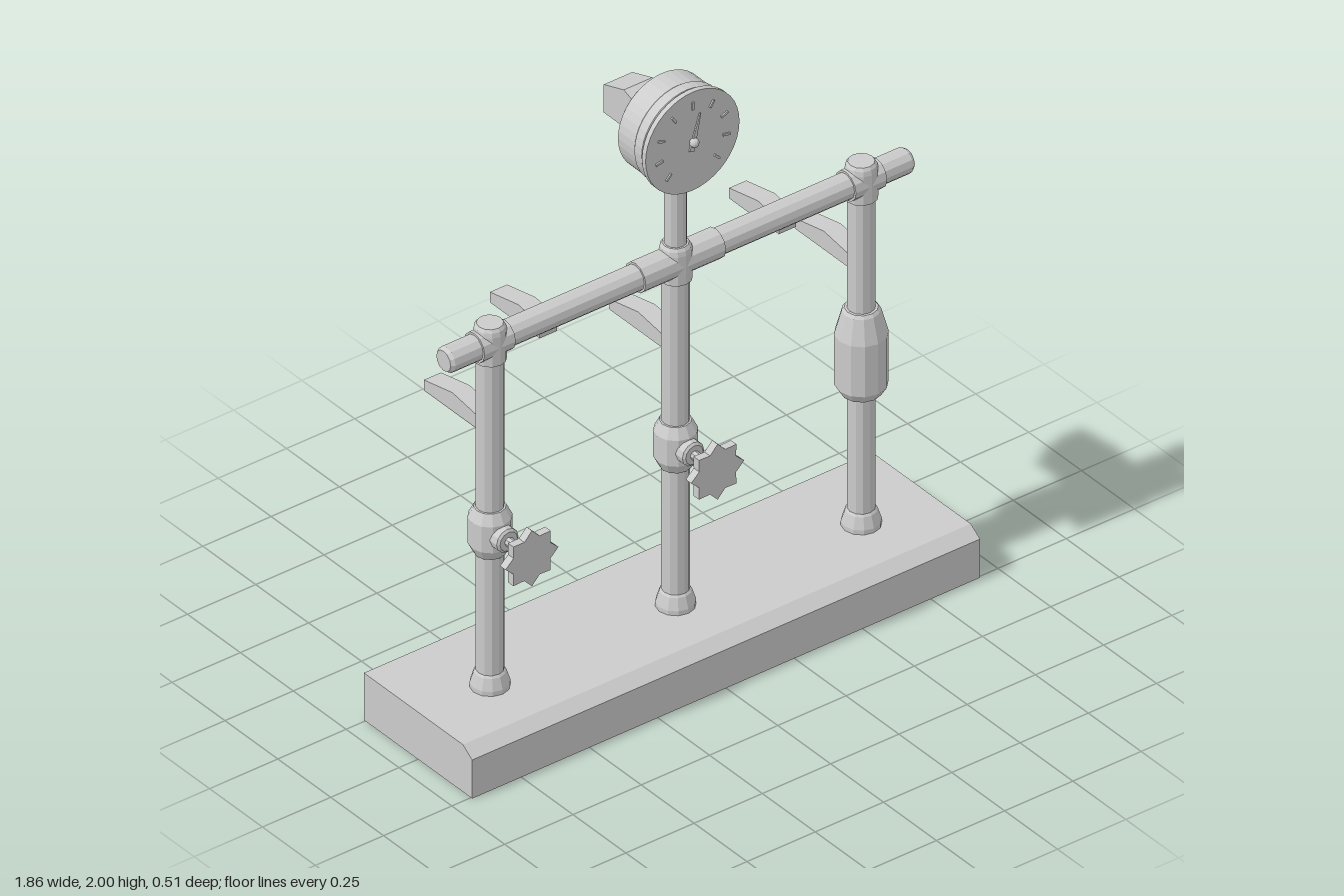
import * as THREE from 'three';

const Z = 0.017; // depth of the pipe plane
const POSTS = [-0.68, 0, 0.68];

export function createModel() {
  const model = new THREE.Group();
  const faceted = new THREE.MeshStandardMaterial({ color: 0xcccccc, flatShading: true });

  function add(name, geometry, x = 0, y = 0, z = 0, parent = model) {
    const mesh = new THREE.Mesh(geometry, faceted);
    mesh.name = name;
    mesh.position.set(x, y, z);
    parent.add(mesh);
    return mesh;
  }

  // Turned solid about y; profile is [radius, height] from bottom to top, closed at both ends
  function turned(profile, sides = 12) {
    const pts = profile.map(([r, h]) => new THREE.Vector2(r, h));
    pts.unshift(new THREE.Vector2(0, pts[0].y));
    pts.push(new THREE.Vector2(0, pts[pts.length - 1].y));
    return new THREE.LatheGeometry(pts, sides);
  }

  // Side outline of [z, y] points, extruded to a width along x
  function sideProfile(points, width) {
    const shape = new THREE.Shape(points.map(([z, y]) => new THREE.Vector2(-z, y)));
    return new THREE.ExtrudeGeometry(shape, { depth: width, bevelEnabled: false })
      .translate(0, 0, -width / 2).rotateY(Math.PI / 2);
  }

  // Base slab with a chamfered front edge
  add('base', sideProfile([[0.256, 0], [-0.256, 0], [-0.256, 0.165], [0.212, 0.165], [0.256, 0.135]], 1.86));

  // Upright pipes with flared feet, and joints at the crossbar
  for (const x of POSTS) {
    add('upright', turned([[0.042, 0.16], [0.042, 1.37]]), x, 0, Z);
    add('foot', turned([[0.06, 0.165], [0.06, 0.18], [0.048, 0.218], [0.042, 0.225]]), x, 0, Z);
    add('jointCollar', turned([[0.05, 1.31], [0.05, 1.41], [0.047, 1.425], [0.04, 1.435]]), x, 0, Z);
    const half = x === 0 ? 0.147 : 0.057;
    add('jointSleeve', turned([[0.049, -half], [0.049, half]]).rotateZ(Math.PI / 2), x, 1.37, Z);
  }

  // Crossbar with chamfered ends
  add('crossbar', turned([[0.034, -0.85], [0.042, -0.838], [0.042, 0.838], [0.034, 0.85]])
    .rotateZ(Math.PI / 2), 0, 1.37, Z);

  // Inline filter on the left upright
  add('filter', turned([[0.062, 0.63], [0.08, 0.66], [0.08, 0.835], [0.058, 0.915], [0.05, 0.925]]), 0.68, 0, Z);

  // Valves with eight-pointed hand wheels
  const star = new THREE.Shape();
  for (let i = 0; i < 16; i++) {
    const r = i % 2 ? 0.073 : 0.097, a = (i * Math.PI) / 8;
    star[i ? 'lineTo' : 'moveTo'](r * Math.cos(a), r * Math.sin(a));
  }
  star.closePath();
  const wheelGeometry = new THREE.ExtrudeGeometry(star, { depth: 0.026, bevelEnabled: false });
  for (const [x, y] of [[-0.68, 0.715], [0, 0.735]]) {
    const valve = new THREE.Group();
    valve.name = 'valve';
    valve.position.set(x, y, 0);
    model.add(valve);
    add('valveBody', turned([[0.048, -0.08], [0.066, -0.045], [0.066, 0.045], [0.048, 0.08]]), 0, 0, Z, valve);
    add('valveNeck', turned([[0.04, 0.06], [0.04, 0.1], [0.032, 0.106]]).rotateX(Math.PI / 2), 0, 0, 0, valve);
    add('valveStem', turned([[0.015, 0.08], [0.015, 0.2]], 8).rotateX(Math.PI / 2), 0, 0, 0, valve);
    add('handWheel', wheelGeometry, 0, 0, 0.19, valve);
  }

  // Pressure gauge on its riser
  add('gaugeRiser', turned([[0.034, 1.4], [0.034, 1.7]]), 0, 0, Z);
  const gauge = new THREE.Group();
  gauge.name = 'gauge';
  gauge.position.y = 1.828;
  model.add(gauge);
  add('gaugeCase', turned([
    [0.148, -0.06], [0.161, -0.048], [0.161, 0.03], [0.164, 0.034], [0.164, 0.068],
    [0.158, 0.072], [0.158, 0.08], [0.172, 0.08], [0.172, 0.097],
  ], 40).rotateX(Math.PI / 2), 0, 0, 0, gauge);
  add('hub', new THREE.SphereGeometry(0.015, 12, 8), 0, 0, 0.106, gauge);
  const needle = new THREE.Shape([[-0.009, -0.03], [0.009, -0.03], [0.002, 0.095], [-0.002, 0.095]]
    .map(([x, y]) => new THREE.Vector2(x, y)));
  add('needle', new THREE.ExtrudeGeometry(needle, { depth: 0.005, bevelEnabled: false }), 0, 0, 0.1, gauge)
    .rotation.z = -0.25;
  for (let i = 0; i < 9; i++) {
    const a = THREE.MathUtils.degToRad(-135 + i * 33.75);
    const tick = add('tick', new THREE.BoxGeometry(0.007, 0.026, 0.008),
      -0.125 * Math.sin(a), 0.125 * Math.cos(a), 0.098, gauge);
    tick.rotation.z = a;
  }

  // Wall brackets behind the gauge, crossbar and uprights
  add('gaugeBracket', sideProfile([[-0.07, 1.762], [-0.255, 1.762], [-0.255, 1.86], [-0.16, 1.892], [-0.07, 1.86]], 0.105));
  const hook = (front) => sideProfile([[front, 0], [-0.255, 0], [-0.255, 0.036], [-0.12, 0.064], [front, 0.048]], 0.063);
  for (const x of [-0.438, 0.438]) add('crossbarBracket', hook(-0.02), x, 1.271, 0);
  for (const x of POSTS) add('uprightBracket', hook(-0.01), x, 1.064, 0);

  return model;
}
